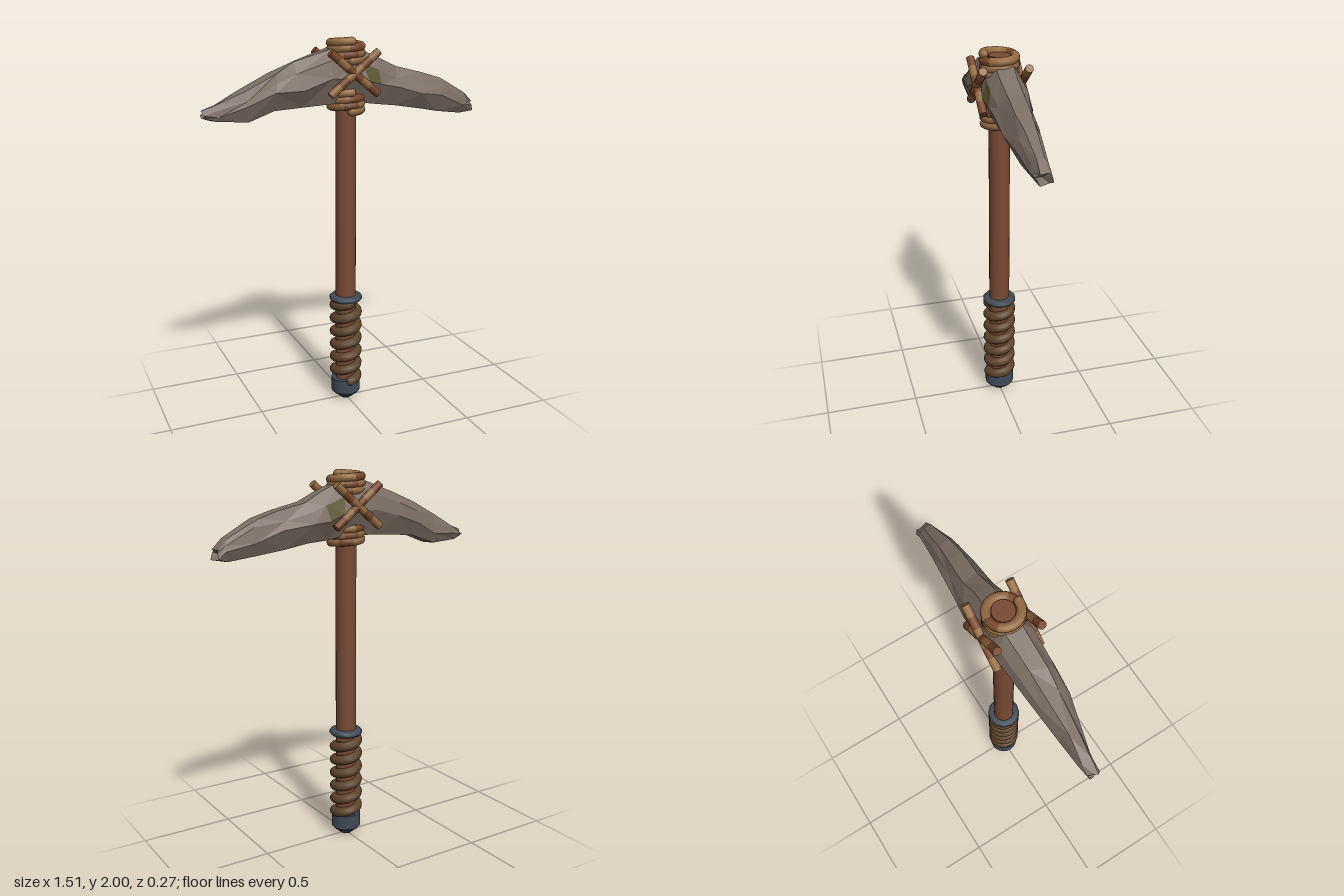
import * as THREE from 'three';

const mat = (name, color, extra = {}) => {
  const m = new THREE.MeshStandardMaterial({ color, ...extra });
  m.name = name;
  return m;
};

// Helix winding counter-clockwise upwards, limited to the turn range [from, to]
class Helix extends THREE.Curve {
  constructor(radius, y0, pitch, from, to) {
    super();
    Object.assign(this, { radius, y0, pitch, from, to });
  }
  getPoint(t, out = new THREE.Vector3()) {
    const turn = this.from + (this.to - this.from) * t, a = turn * Math.PI * 2;
    return out.set(Math.sin(a) * this.radius, this.y0 + turn * this.pitch, Math.cos(a) * this.radius);
  }
}

// Head sections: x, top y, bottom y, front depth, back depth
const SECTIONS = [
  [-0.745, 1.665, 1.625, 0.02, 0.035],
  [-0.69, 1.69, 1.61, 0.035, 0.04],
  [-0.55, 1.75, 1.60, 0.06, 0.06],
  [-0.40, 1.83, 1.65, 0.085, 0.08],
  [-0.28, 1.885, 1.66, 0.10, 0.095],
  [-0.10, 1.945, 1.67, 0.105, 0.115],
  [0.075, 1.94, 1.665, 0.105, 0.115],
  [0.16, 1.895, 1.655, 0.10, 0.115],
  [0.26, 1.845, 1.645, 0.09, 0.105],
  [0.40, 1.81, 1.62, 0.085, 0.08],
  [0.53, 1.775, 1.60, 0.075, 0.06],
  [0.68, 1.69, 1.58, 0.045, 0.05],
  [0.735, 1.64, 1.59, 0.035, 0.045],
];
// Outline of one section: side depth factor and height fraction
const OUTLINE = [[0.4, 1], [0.8, 0.74], [1, 0.44], [0.5, 0], [-0.5, 0], [-1, 0.44], [-0.8, 0.74], [-0.4, 1]];

function headGeometry() {
  let seed = 11;
  const jitter = (s) => {
    seed = (seed * 16807) % 2147483647;
    return (seed / 2147483647 - 0.5) * s;
  };
  const n = OUTLINE.length, last = SECTIONS.length - 1;
  const rings = SECTIONS.map(([x, top, bottom, front, back], i) => OUTLINE.map(([d, h]) => {
    const tip = i === 0 || i === last;
    return [
      x + jitter(tip ? 0.03 : 0.04),
      bottom + (top - bottom) * h + (h > 0 && h < 1 ? jitter(0.03) : 0),
      d * (d > 0 ? front : back) + jitter(tip ? 0.02 : 0.012),
    ];
  }));
  const stone = [], moss = [];
  for (let i = 0; i < last; i++) {
    for (let k = 0; k < n; k++) {
      const j = (k + 1) % n;
      const a = rings[i][k], b = rings[i][j], c = rings[i + 1][j], d = rings[i + 1][k];
      // Mossy facets beside the lashing
      const target = i === 6 && (k === 1 || k === 5) ? moss : stone;
      target.push(...((i + k) % 2 ? [a, b, c, a, c, d] : [a, b, d, b, c, d]));
    }
  }
  // Hollow, broken tips
  for (const [i, inset] of [[0, 0.035], [last, -0.035]]) {
    const [x, top, bottom] = SECTIONS[i];
    const centre = [x + inset, (top + bottom) / 2, 0];
    for (let k = 0; k < n; k++) {
      const p = rings[i][k], q = rings[i][(k + 1) % n];
      stone.push(centre, ...(i ? [p, q] : [q, p]));
    }
  }
  const geo = new THREE.BufferGeometry();
  geo.setAttribute('position', new THREE.Float32BufferAttribute([...stone, ...moss].flat(), 3));
  geo.addGroup(0, stone.length, 0);
  geo.addGroup(stone.length, moss.length, 1);
  geo.computeVertexNormals();
  return geo;
}

export function createModel() {
  const wood = mat('wood', 0x784a33);
  const rope = mat('rope', 0x936a40);
  const ropeDark = mat('dark rope', 0x774729);
  const wrap = mat('grip wrap', 0x5c432b);
  const metal = mat('dark metal', 0x404b57);
  const stone = mat('stone', 0x7c6e64, { flatShading: true, side: THREE.DoubleSide });
  const moss = mat('moss', 0x5a552b, { flatShading: true, side: THREE.DoubleSide });

  const model = new THREE.Group();
  model.name = 'pickaxe';
  const add = (name, geo, material, parent = model) => {
    const mesh = new THREE.Mesh(geo, material);
    mesh.name = name;
    parent.add(mesh);
    return mesh;
  };
  const group = (name) => {
    const g = new THREE.Group();
    g.name = name;
    model.add(g);
    return g;
  };
  const lathe = (pts, sides) => new THREE.LatheGeometry(pts.map(([r, y]) => new THREE.Vector2(r, y)), sides);

  add('handle', new THREE.CylinderGeometry(0.054, 0.056, 1.87, 20), wood).position.y = 1.035;
  add('head', headGeometry(), [stone, moss]);

  // Rope tube along a helix with rounded ends
  const coil = (name, parent, radius, tube, y0, pitch, from, to, material, caps) => {
    const path = new Helix(radius, y0, pitch, from, to);
    const steps = Math.max(4, Math.ceil((to - from) * 28));
    add(name, new THREE.TubeGeometry(path, steps, tube, 10), material, parent);
    for (const t of caps) {
      add(name + 'End', new THREE.SphereGeometry(tube, 10, 8), material, parent).position.copy(path.getPoint(t));
    }
  };

  // Spiral grip
  coil('gripCoil', group('grip'), 0.063, 0.027, 0.115, 0.077, 0, 6, wrap, [0, 1]);

  // Mottled rope coils above and below the head
  const STRIPES = [0, 0.35, 0.47, 0.92, 1.05, 1.4, 1.52, 1.97, 2.12, 2.5, 2.62, 3];
  for (const [name, y0] of [['upperBinding', 1.882], ['lowerBinding', 1.628]]) {
    const binding = group(name);
    for (let i = 0; i < STRIPES.length - 1; i++) {
      const caps = i === 0 ? [0] : i === STRIPES.length - 2 ? [1] : [];
      coil('ropeCoil', binding, 0.078, 0.023, y0, 0.032, STRIPES[i], STRIPES[i + 1], i % 2 ? ropeDark : rope, caps);
    }
  }

  // Crossed lashings on both faces, in alternating rope bands
  const BANDS = [-0.168, -0.1, -0.045, 0.05, 0.11, 0.168];
  for (const side of [1, -1]) {
    const lashing = group(side > 0 ? 'frontLashing' : 'backLashing');
    lashing.position.set(0, 1.823, side * 0.114);
    for (const dir of [1, -1]) {
      const strand = new THREE.Group();
      strand.name = 'lashingStrand';
      strand.rotation.z = dir * 0.89;
      lashing.add(strand);
      for (let i = 0; i < BANDS.length - 1; i++) {
        const length = BANDS[i + 1] - BANDS[i];
        const dark = (i + (dir > 0 ? 1 : 0)) % 2;
        add('ropeBand', new THREE.CylinderGeometry(0.021, 0.021, length, 12), dark ? ropeDark : rope, strand)
          .position.y = (BANDS[i] + BANDS[i + 1]) / 2;
      }
    }
  }

  // Metal collar and pommel
  add('collar', lathe([[0.05, 0.582], [0.078, 0.582], [0.09, 0.592], [0.09, 0.606], [0.078, 0.616], [0.05, 0.616]], 12), metal);
  add('pommel', new THREE.CylinderGeometry(0.08, 0.08, 0.078, 20), metal).position.y = 0.083;
  add('pommelRim', new THREE.CylinderGeometry(0.08, 0.07, 0.012, 20), metal).position.y = 0.038;
  add('pommelTip', new THREE.CylinderGeometry(0.066, 0.035, 0.034, 8), metal).position.y = 0.017;
  return model;
}
